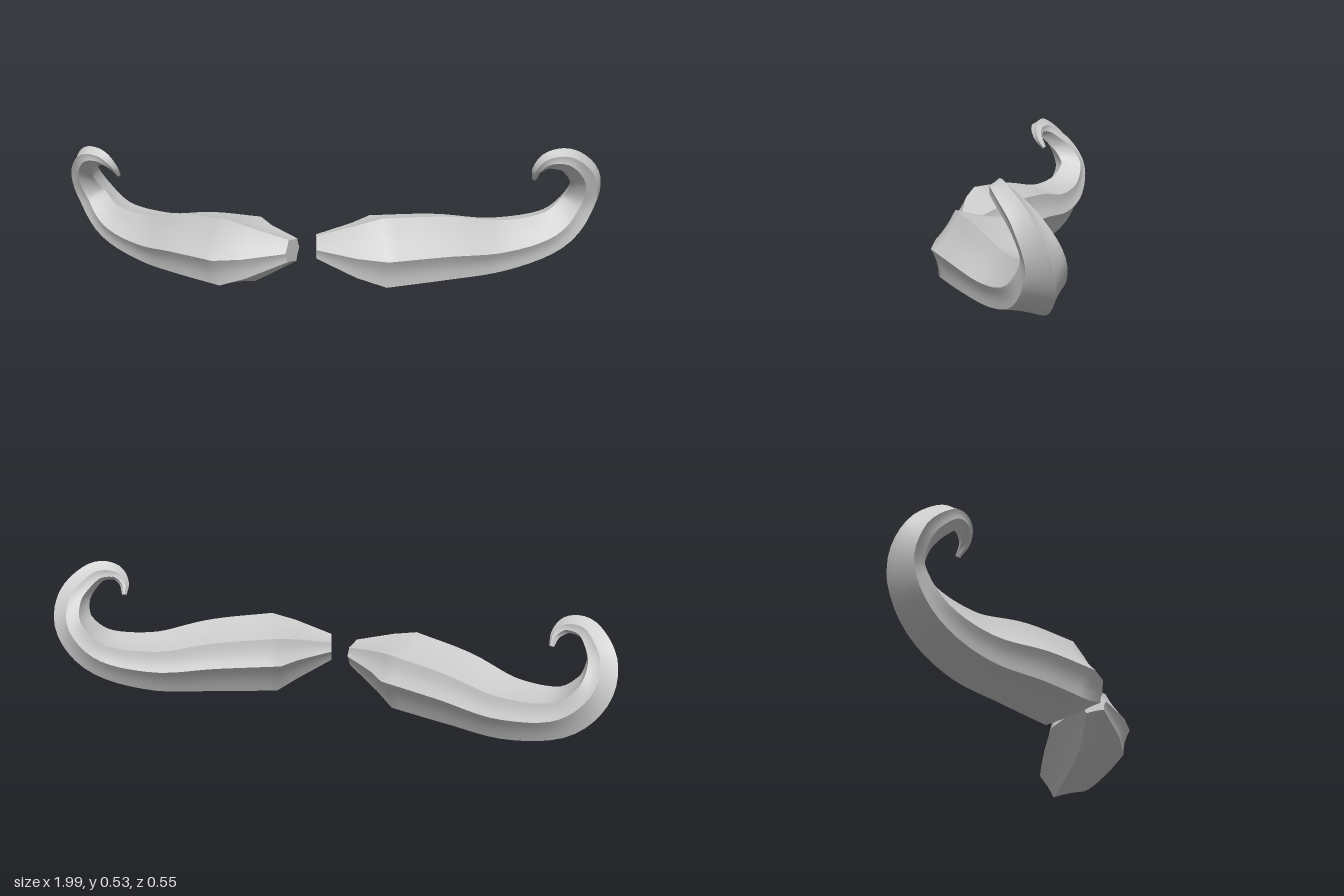
import * as THREE from 'three';
import { mergeGeometries } from 'three/addons/utils/BufferGeometryUtils.js';

const V = (x, y, z) => new THREE.Vector3(x, y, z);

// Six-sided section as [front, up], going front, top, back, bottom
const SECTION = [[1.02, 0.03], [0.42, 0.89], [-0.8, 0.63], [-0.97, -0.03], [-0.4, -0.9], [0.84, -0.63]];
const GROOVE = 0.05;  // how far each long face dips between its edges
const ACROSS = 4;     // subdivisions across one face
const STEPS = 5;      // rings between two stations
const TWIST = 0.3;    // roll of the section in the curl
const SLIMMING = 0.2; // how much shallower the section gets in the curl

// Stations from the thick part to the curled tip: x, y, z, radius
const STATIONS = [
  [0.24, 0.168, 0.132, 0.150],
  [0.45, 0.171, 0.050, 0.138],
  [0.65, 0.165, -0.034, 0.112],
  [0.832, 0.210, -0.092, 0.090],
  [0.925, 0.310, -0.112, 0.074],
  [0.938, 0.410, -0.068, 0.060],
  [0.882, 0.482, -0.004, 0.045],
  [0.815, 0.487, 0.018, 0.033],
  [0.776, 0.452, 0.010, 0.020],
  [0.767, 0.411, -0.016, 0.009],
];

// Frames along the half: the tapered inner end, then the smooth spine
function makeRings() {
  const spine = new THREE.CatmullRomCurve3(STATIONS.map((s) => V(s[0], s[1], s[2])), false, 'catmullrom', 0.5);
  const radius = new THREE.CatmullRomCurve3(STATIONS.map((s) => V(s[3], 0, 0)), false, 'catmullrom', 0.5);
  const rings = [
    { p: V(0.03, 0.185, 0.175), t: V(1, 0, -0.2).normalize(), r: 0.05, curl: 0 },
    { p: V(0.16, 0.174, 0.158), t: V(1, 0, -0.25).normalize(), r: 0.113, curl: 0 },
  ];
  const n = (STATIONS.length - 1) * STEPS;
  for (let i = 0; i <= n; i++) {
    const u = i / n;
    rings.push({
      p: spine.getPoint(u), t: spine.getTangent(u), r: radius.getPoint(u).x,
      curl: THREE.MathUtils.smoothstep(u, 0.25, 0.6),
    });
  }
  const reference = V(0.3, 0, 1).normalize();
  for (const ring of rings) {
    ring.front = reference.clone().addScaledVector(ring.t, -reference.dot(ring.t)).normalize();
    ring.front.applyAxisAngle(ring.t, -TWIST * ring.curl);
    ring.up = ring.front.clone().cross(ring.t);
    ring.depth = ring.r * (1 - SLIMMING * ring.curl);
  }
  return rings;
}

// Point on face k of a ring, v running 0..1 across the face
function ringPoint(ring, k, v) {
  const a = SECTION[k], b = SECTION[(k + 1) % 6];
  const dip = 1 - GROOVE * 4 * v * (1 - v);
  const f = THREE.MathUtils.lerp(a[0], b[0], v) * dip;
  const u = THREE.MathUtils.lerp(a[1], b[1], v) * dip;
  return ring.p.clone().addScaledVector(ring.front, f * ring.depth).addScaledVector(ring.up, u * ring.r);
}

function surface(points, index, mirrored) {
  const pos = points.flatMap((p) => [mirrored ? -p.x : p.x, p.y, p.z]);
  const g = new THREE.BufferGeometry();
  g.setAttribute('position', new THREE.Float32BufferAttribute(pos, 3));
  g.setIndex(mirrored ? index.slice().reverse() : index);
  g.computeVertexNormals();
  return g;
}

// One half: six smooth faces with sharp edges between them, closed at both ends
function halfGeometry(mirrored) {
  const rings = makeRings();
  const parts = [];
  const w = ACROSS + 1;
  for (let k = 0; k < 6; k++) {
    const points = [], index = [];
    rings.forEach((ring, i) => {
      for (let j = 0; j < w; j++) points.push(ringPoint(ring, k, j / ACROSS));
      if (i === rings.length - 1) return;
      for (let j = 0; j < ACROSS; j++) {
        const a = i * w + j, b = a + w;
        index.push(a, b, a + 1, a + 1, b, b + 1);
      }
    });
    parts.push(surface(points, index, mirrored));
  }
  for (const [ring, atTip] of [[rings[0], false], [rings[rings.length - 1], true]]) {
    const points = [ring.p], index = [], n = 6 * ACROSS;
    for (let i = 0; i < n; i++) {
      points.push(ringPoint(ring, Math.floor(i / ACROSS), (i % ACROSS) / ACROSS));
      const a = 1 + i, b = 1 + (i + 1) % n;
      index.push(0, ...(atTip ? [b, a] : [a, b]));
    }
    parts.push(surface(points, index, mirrored));
  }
  return mergeGeometries(parts);
}

export function createModel() {
  const grey = new THREE.MeshStandardMaterial({ color: 0xcccccc });
  grey.name = 'light grey';
  const model = new THREE.Group();
  model.name = 'moustache';

  const left = new THREE.Mesh(halfGeometry(false), grey);
  left.name = 'leftHalf';

  // The right half is mirrored, swept further back and tipped slightly down
  const rightGeometry = halfGeometry(true);
  rightGeometry.translate(0.02, -0.19, -0.18);
  rightGeometry.rotateY(-0.12);
  rightGeometry.rotateZ(0.075);
  rightGeometry.translate(-0.044, 0.173, 0.186);
  const right = new THREE.Mesh(rightGeometry, grey);
  right.name = 'rightHalf';

  model.add(left, right);
  return model;
}
